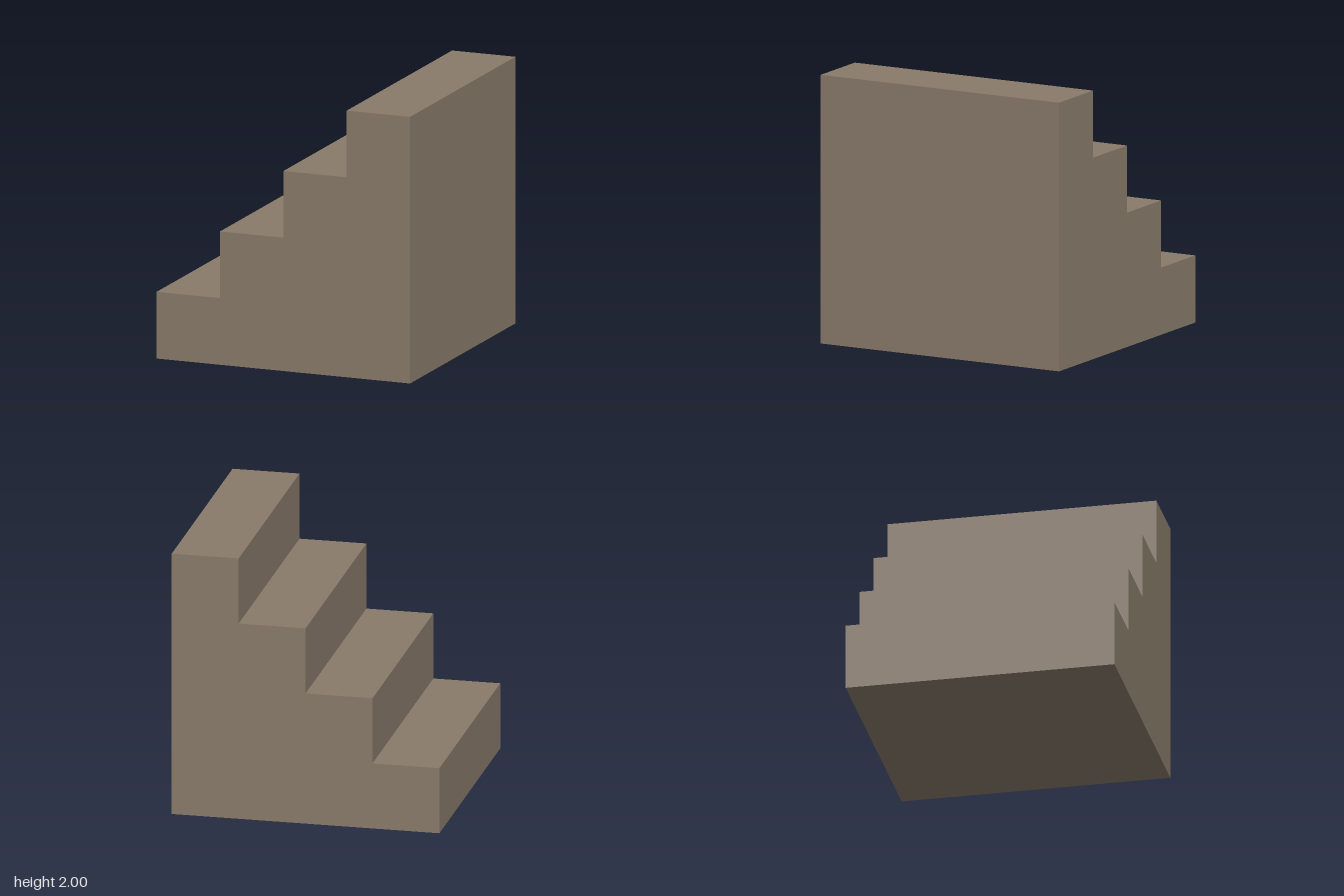
import * as THREE from 'three';

const STEPS = 4;
const SIZE = 2;
const STEP = SIZE / STEPS;

export function createModel() {
  const group = new THREE.Group();
  group.name = 'staircase';

  // Side profile: flat base, tall wall at +x, steps descending towards -x
  const profile = new THREE.Shape();
  profile.moveTo(-SIZE / 2, 0);
  profile.lineTo(SIZE / 2, 0);
  for (let i = STEPS; i > 0; i--) {
    const left = -SIZE / 2 + (i - 1) * STEP;
    profile.lineTo(left + STEP, i * STEP); // top of riser
    profile.lineTo(left, i * STEP); // tread
  }
  profile.closePath();

  // Solid block of steps, extruded across the full depth
  const geometry = new THREE.ExtrudeGeometry(profile, { depth: SIZE, bevelEnabled: false });
  geometry.translate(0, 0, -SIZE / 2);

  const material = new THREE.MeshStandardMaterial({ color: 0x887a6a });
  const steps = new THREE.Mesh(geometry, material);
  steps.name = 'steps';
  group.add(steps);

  return group;
}
